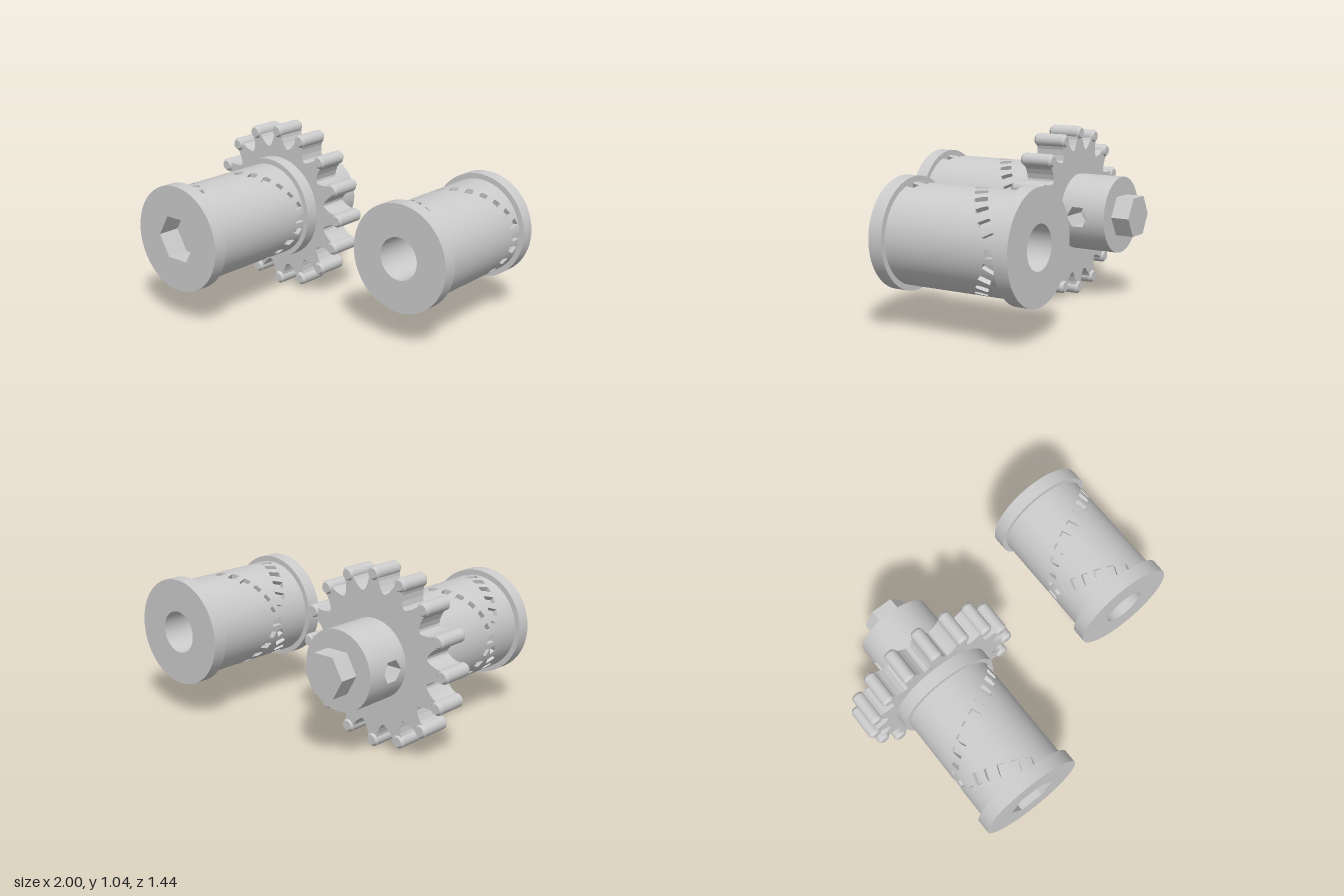
import * as THREE from 'three';

const material = new THREE.MeshStandardMaterial({ color: 0xcccccc });
const inside = new THREE.MeshStandardMaterial({ color: 0xcccccc, side: THREE.BackSide });
const flat = new THREE.MeshStandardMaterial({ color: 0xcccccc, flatShading: true });
const flatInside = new THREE.MeshStandardMaterial({ color: 0xcccccc, flatShading: true, side: THREE.BackSide });

const CY = 0.525, R_FLANGE = 0.317, R_DRUM = 0.285, R_HUB = 0.23;

function add(group, name, geometry, mat = material) {
  const mesh = new THREE.Mesh(geometry, mat);
  mesh.name = name;
  group.add(mesh);
  return mesh;
}

// Cylinder along z between z0 and z1
function zCylinder(r, z0, z1, sides = 72, open = false) {
  return new THREE.CylinderGeometry(r, r, z1 - z0, sides, 1, open)
    .rotateX(Math.PI / 2).translate(0, 0, (z0 + z1) / 2);
}

// Flat plate along z, with an optional round or hexagonal hole
function zPlate(shape, z0, z1) {
  return new THREE.ExtrudeGeometry(shape, { depth: z1 - z0, bevelEnabled: false, curveSegments: 72 })
    .translate(0, 0, z0);
}

function disc(r) {
  return new THREE.Shape().absarc(0, 0, r, 0, Math.PI * 2);
}

function hexPoints(r) {
  return Array.from({ length: 6 }, (_, i) =>
    new THREE.Vector2(r * Math.cos(i * Math.PI / 3), r * Math.sin(i * Math.PI / 3)));
}

// Point at fraction f around a closed polygon
function around(poly, f) {
  const t = f * poly.length, i = Math.floor(t) % poly.length;
  return poly[i].clone().lerp(poly[(i + 1) % poly.length], t - Math.floor(t));
}

// Curved cylinder patches, each with one recess sunk into it.
// A patch is { rect, hole } in (angle, z), both counter-clockwise.
function recessedWall(radius, patches, depth, count, steps) {
  const pos = [], nor = [];
  const on = (p) => new THREE.Vector3(radius * Math.cos(p.x), radius * Math.sin(p.x), p.y);
  const tri = (a, b, c, smooth) => {
    const n = b.clone().sub(a).cross(c.clone().sub(a)).normalize();
    for (const p of [a, b, c]) {
      pos.push(p.x, p.y, p.z);
      if (smooth) nor.push(p.x / radius, p.y / radius, 0);
      else nor.push(n.x, n.y, n.z);
    }
  };
  const band = (a, b, smooth) => a.forEach((p, i) => {
    const j = (i + 1) % a.length;
    tri(p, a[j], b[j], smooth);
    tri(p, b[j], b[i], smooth);
  });
  for (const { rect, hole } of patches) {
    const ring = (k) => Array.from({ length: count }, (_, i) =>
      on(around(rect, i / count).lerp(around(hole, i / count), k)));
    for (let s = 0; s < steps; s++) band(ring(s / steps), ring((s + 1) / steps), true);
    // Recess sides and floor
    const mid = hole.reduce((m, p) => m.add(p), new THREE.Vector2()).divideScalar(hole.length);
    const sink = new THREE.Vector3(-Math.cos(mid.x), -Math.sin(mid.x), 0).multiplyScalar(depth);
    const rim = ring(1), floor = rim.map((p) => p.clone().add(sink));
    band(rim, floor, false);
    const centre = on(mid).add(sink);
    floor.forEach((p, i) => tri(p, floor[(i + 1) % count], centre, false));
  }
  const g = new THREE.BufferGeometry();
  g.setAttribute('position', new THREE.Float32BufferAttribute(pos, 3));
  g.setAttribute('normal', new THREE.Float32BufferAttribute(nor, 3));
  return g;
}

function rectangle(x0, x1, y0, y1) {
  return [[x0, y0], [x1, y0], [x1, y1], [x0, y1]].map(([x, y]) => new THREE.Vector2(x, y));
}

// Drum with two crossing spirals of pockets, one winding each way
function drumGeometry() {
  const z0 = -0.7, z1 = 0.12, step = 15, rad = Math.PI / 180;
  const height = (t) => t === 0 ? -0.605 : t <= 90 ? -0.63 + 0.00285 * t : -0.374 + 0.00207 * (t - 90);
  const patches = [];
  for (let a = 0; a < 360; a += step) {
    const turns = [[a, 1], [360 - a, -1]].filter(([t]) => t <= 285);
    if (a === 180) turns.pop();
    turns.sort((p, q) => p[0] - q[0]);
    turns.forEach(([t, dir], i) => {
      const z = height(t);
      const low = i === 0 ? z0 : (height(turns[0][0]) + z) / 2;
      const high = i === turns.length - 1 ? z1 : (z + height(turns[1][0])) / 2;
      const tilt = t === 0 || t === 180 ? 0 : dir * (t < 90 ? 0.48 : 0.4);
      const half = Math.abs(t - 180) === 15 ? 0.02 : 0.036;
      const hole = rectangle(-0.0225, 0.0225, -half, half).map((p) => {
        p.rotateAround(new THREE.Vector2(), tilt);
        return new THREE.Vector2(a * rad + p.x / R_DRUM, z + p.y);
      });
      patches.push({ rect: rectangle((a - 7.5) * rad, (a + 7.5) * rad, low, high), hole });
    });
  }
  return recessedWall(R_DRUM, patches, 0.03, 24, 2);
}

// Hub wall with a hexagonal hole on each side
function hubGeometry(z0, z1) {
  const patches = [0, Math.PI].map((a) => ({
    rect: rectangle(a - Math.PI / 2, a + Math.PI / 2, z0, z1),
    hole: Array.from({ length: 6 }, (_, i) => {
      const t = (210 + i * 60) * Math.PI / 180;
      return new THREE.Vector2(a + 0.068 * Math.cos(t) / R_HUB, -0.43 + 0.068 * Math.sin(t));
    }),
  }));
  return recessedWall(R_HUB, patches, 0.18, 96, 10);
}

// Gear outline with flared teeth
function gearShape(teeth) {
  const half = [[11.25, 0.38], [9.3, 0.385], [6.5, 0.41], [4.6, 0.44], [3.7, 0.48]];
  const tooth = [...half.map(([a, r]) => [-a, r]), ...half.slice(1).reverse()];
  const points = [];
  for (let i = 0; i < teeth; i++) {
    for (const [a, r] of tooth) {
      const t = (a + i * 360 / teeth) * Math.PI / 180;
      points.push(new THREE.Vector2(r * Math.cos(t), r * Math.sin(t)));
    }
  }
  return new THREE.Shape(points);
}

function freeSpool() {
  const g = new THREE.Group();
  g.name = 'freeSpool';
  const ring = disc(R_FLANGE);
  ring.holes.push(new THREE.Path().absarc(0, 0, 0.125, 0, Math.PI * 2, true));
  add(g, 'drum', drumGeometry());
  add(g, 'frontFlange', zPlate(ring, 0.057, 0.142));
  add(g, 'backFlange', zPlate(ring, -0.722, -0.638));
  add(g, 'bore', zCylinder(0.125, -0.7, 0.12, 72, true), inside);
  return g;
}

function gearSpool() {
  const g = new THREE.Group();
  g.name = 'gearSpool';
  add(g, 'drum', drumGeometry().translate(0, 0, 0.577));

  // Flanges and hexagonal socket
  const face = disc(R_FLANGE);
  face.holes.push(new THREE.Path(hexPoints(0.144).reverse()));
  add(g, 'frontFlange', zPlate(face, 0.634, 0.718));
  add(g, 'backFlange', zCylinder(R_FLANGE, -0.145, -0.06));
  add(g, 'socketWall', zCylinder(0.144, 0.58, 0.715, 6, true).rotateZ(Math.PI / 6 * 3), flatInside);
  add(g, 'socketFloor', new THREE.CircleGeometry(0.16, 24).translate(0, 0, 0.582));

  // Gear with a round bevelled bead on every tooth
  add(g, 'gear', zPlate(gearShape(16), -0.322, -0.142));
  const bead = new THREE.LatheGeometry(
    [[0, -0.104], [0.028, -0.104], [0.028, -0.104], [0.04, -0.088], [0.04, -0.088],
      [0.04, 0.088], [0.04, 0.088], [0.028, 0.104], [0.028, 0.104], [0, 0.104]]
      .map(([x, y]) => new THREE.Vector2(x, y)), 24).rotateX(Math.PI / 2);
  for (let i = 0; i < 16; i++) {
    const a = i * Math.PI / 8;
    add(g, 'toothBead', bead).position.set(0.48 * Math.cos(a), 0.48 * Math.sin(a), -0.23);
  }

  // Hub and drive hexagon
  add(g, 'hub', hubGeometry(-0.61, -0.3));
  add(g, 'hubEnd', new THREE.CircleGeometry(R_HUB, 72).rotateY(Math.PI).translate(0, 0, -0.61));
  add(g, 'driveHexagon', zPlate(new THREE.Shape(hexPoints(0.133)), -0.722, -0.6), flat);
  return g;
}

export function createModel() {
  const model = new THREE.Group();
  model.name = 'spoolPair';
  const geared = gearSpool(), free = freeSpool();
  geared.position.set(-0.48, CY, 0);
  free.position.set(0.683, CY, 0);
  model.add(geared, free);
  return model;
}
